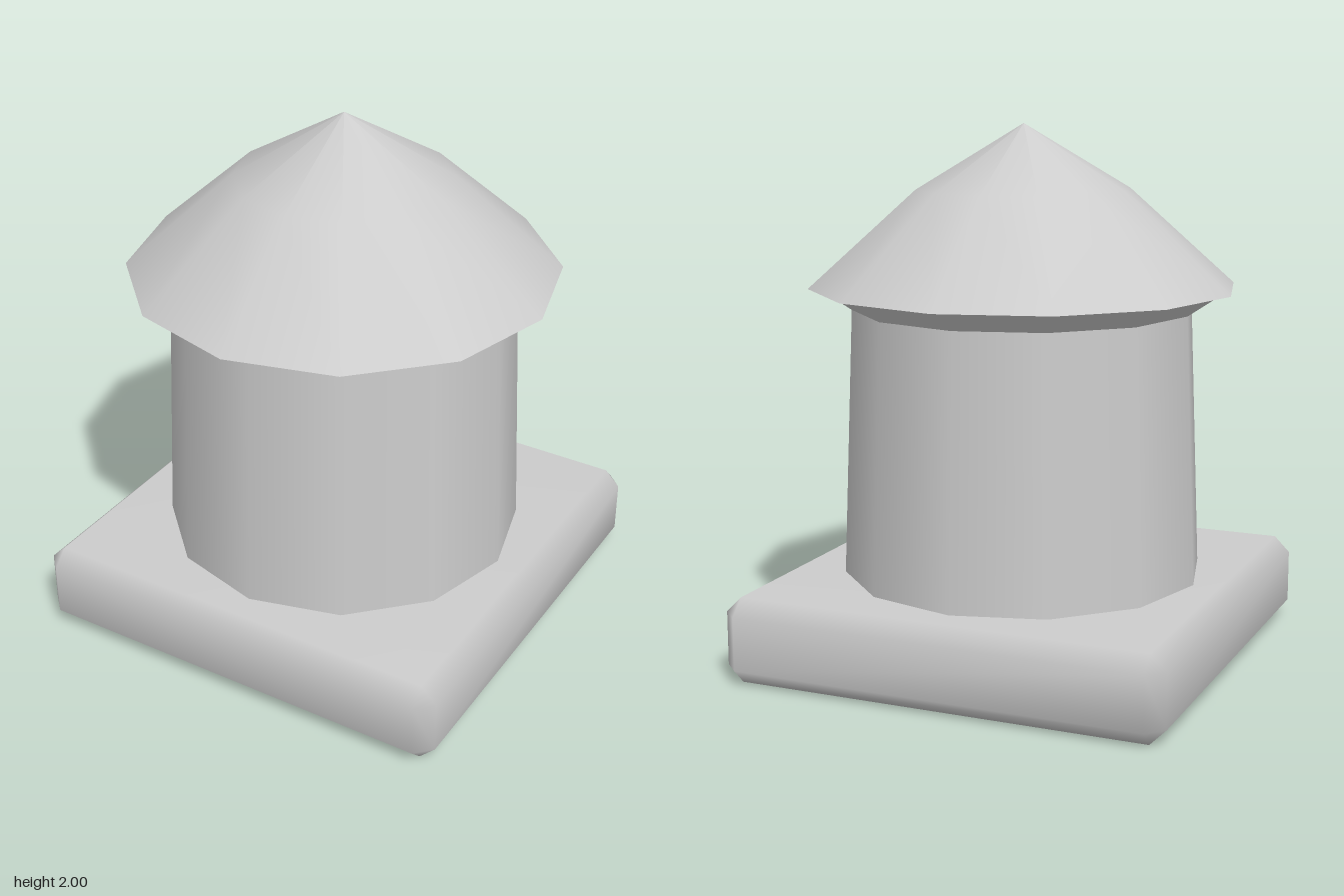
import * as THREE from 'three';
import { mergeVertices } from 'three/addons/utils/BufferGeometryUtils.js';
import { ConvexGeometry } from 'three/addons/geometries/ConvexGeometry.js';

const SIDES = 12;

// Box with single 45 degree chamfers and smooth shared normals
function chamferedBox(w, h, d, c) {
  const points = [];
  for (const sx of [-1, 1]) for (const sy of [-1, 1]) for (const sz of [-1, 1]) {
    const x = w / 2, y = h / 2, z = d / 2;
    points.push(
      new THREE.Vector3(sx * x, sy * (y - c), sz * (z - c)),
      new THREE.Vector3(sx * (x - c), sy * y, sz * (z - c)),
      new THREE.Vector3(sx * (x - c), sy * (y - c), sz * z)
    );
  }
  let geometry = new ConvexGeometry(points);
  geometry.deleteAttribute('normal');
  geometry = mergeVertices(geometry);
  geometry.computeVertexNormals();
  return geometry;
}

// Twelve-sided turned surface, profile listed as [radius, height]
function turned(profile) {
  return new THREE.LatheGeometry(profile.map(([r, y]) => new THREE.Vector2(r, y)), SIDES);
}

export function createModel() {
  const model = new THREE.Group();
  model.name = 'roundTower';
  const grey = new THREE.MeshStandardMaterial({ color: 0xcccccc });
  grey.name = 'lightGrey';

  function add(name, geometry, y = 0) {
    const mesh = new THREE.Mesh(geometry, grey);
    mesh.name = name;
    mesh.position.y = y;
    model.add(mesh);
  }

  // Square plinth
  add('base', chamferedBox(1.68, 0.32, 1.68, 0.06), 0.16);
  // Slightly tapered body
  add('body', turned([[0.68, 0.32], [0.64, 1.32]]));
  // Flared collar under the eaves
  add('collar', turned([[0.64, 1.32], [0.76, 1.4]]));
  // Flat underside and two-pitch roof
  add('eaves', turned([[0.6, 1.4], [0.8, 1.4]]));
  add('roof', turned([[0.8, 1.4], [0.4, 1.76], [0, 2]]));

  return model;
}
